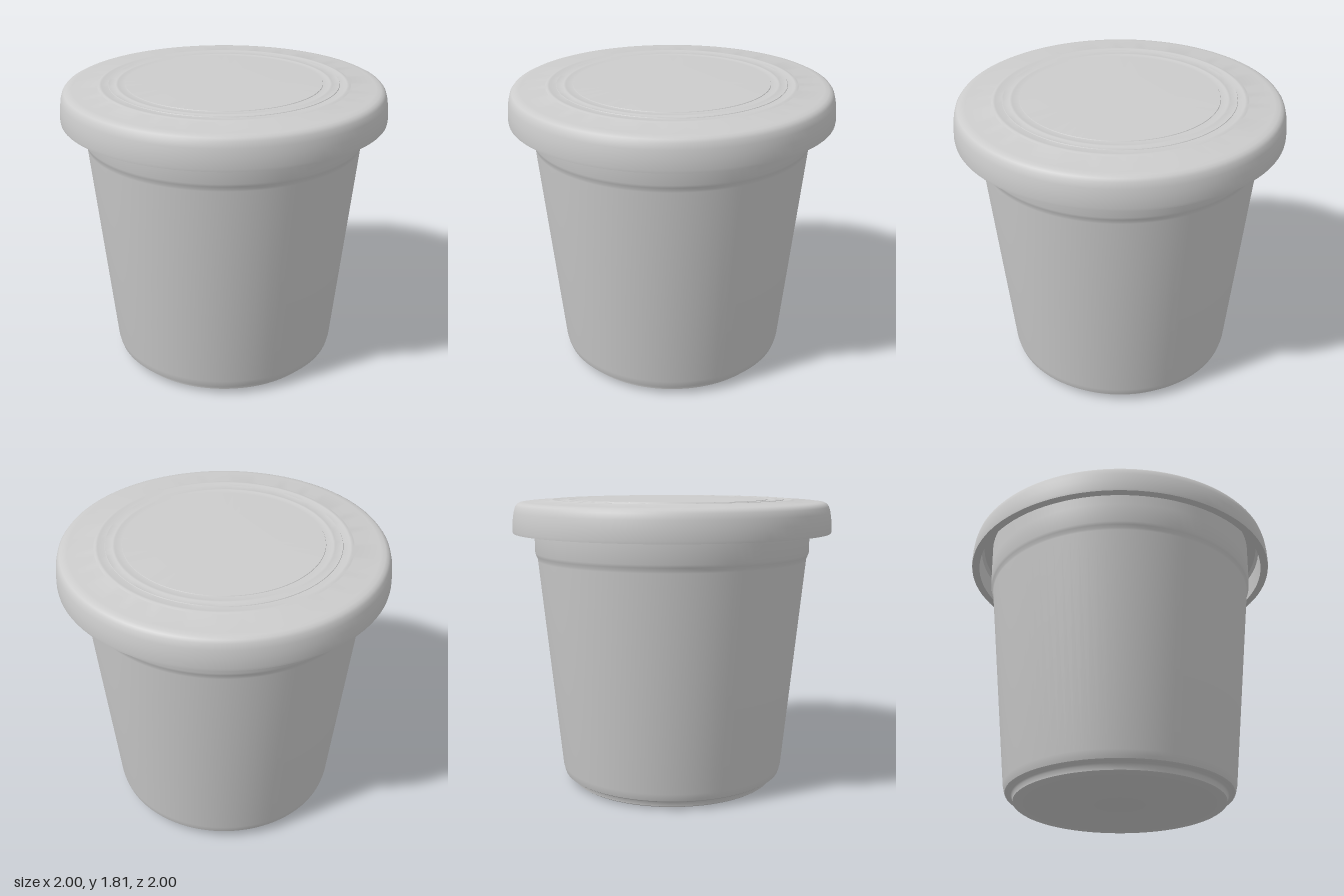
import * as THREE from 'three';
import { toCreasedNormals } from 'three/addons/utils/BufferGeometryUtils.js';

// Turn a profile of [radius, height] pairs around the vertical axis
function turned(name, profile, material) {
  const points = profile.map(([r, y]) => new THREE.Vector2(r, y));
  const geometry = toCreasedNormals(new THREE.LatheGeometry(points, 96), 0.62);
  const mesh = new THREE.Mesh(geometry, material);
  mesh.name = name;
  return mesh;
}

export function createModel() {
  const model = new THREE.Group();
  model.name = 'liddedTub';
  const plastic = new THREE.MeshStandardMaterial({ color: 0xcccccc });
  plastic.name = 'light grey plastic';

  // Tapered tub: stepped foot, straight wall, shoulder and upright collar
  model.add(turned('tub', [
    [0, 0], [0.64, 0], [0.652, 0.008], [0.657, 0.035], [0.665, 0.044],
    [0.69, 0.05], [0.702, 0.058], [0.708, 0.075], [0.715, 0.105],
    [0.848, 1.43], [0.85, 1.445], [0.858, 1.462], [0.864, 1.48],
    [0.866, 1.6], [0.868, 1.76],
  ], plastic));

  // Hollow lid: inner face, thin skirt, rounded shoulder, ringed top
  const lid = [
    [0, 1.755], [0.925, 1.755], [0.942, 1.735], [0.95, 1.604], [0.998, 1.604],
    [1, 1.62], [0.997, 1.68], [0.99, 1.73], [0.98, 1.765], [0.968, 1.781],
    [0.95, 1.79], [0.92, 1.794], [0.77, 1.801],
  ];
  // Two shallow raised rings around the centre panel
  for (const r of [0.75, 0.65]) {
    lid.push([r + 0.015, 1.802], [r + 0.006, 1.806], [r - 0.006, 1.806], [r - 0.015, 1.803]);
    lid.push([r - 0.048, 1.804], [r - 0.05, 1.807]);
  }
  lid.push([0.3, 1.812], [0, 1.814]);
  model.add(turned('lid', lid, plastic));

  return model;
}
